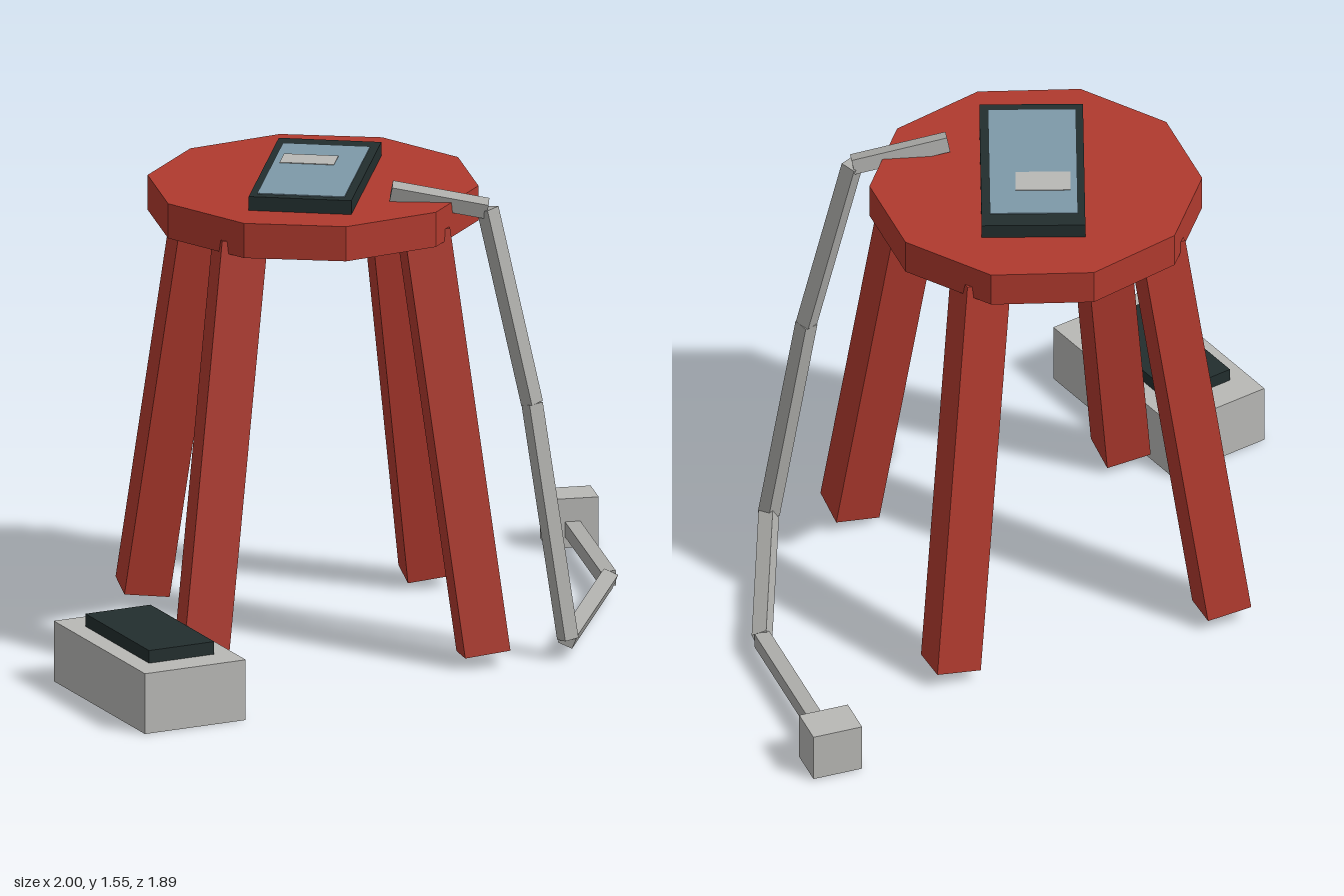
import * as THREE from 'three';

const paint = (name, color) => Object.assign(new THREE.MeshStandardMaterial({ color }), { name });

export function createModel() {
  const red = paint('red wood', 0xb03a2e);
  const grey = paint('light grey', 0xb8b8b5);
  const cableGrey = paint('cable grey', 0xacaca9);
  const black = paint('dark casing', 0x222e2e);
  const blue = paint('screen blue', 0x7d99a8);

  const model = new THREE.Group();
  const UP = new THREE.Vector3(0, 1, 0);

  function box(name, parent, material, size, position) {
    const mesh = new THREE.Mesh(new THREE.BoxGeometry(...size), material);
    mesh.name = name;
    mesh.position.set(...position);
    parent.add(mesh);
    return mesh;
  }

  // Square bar running from point a to point b
  function bar(name, parent, material, a, b, thickness) {
    const start = new THREE.Vector3(...a), end = new THREE.Vector3(...b);
    const along = end.clone().sub(start);
    const middle = start.add(end).multiplyScalar(0.5);
    const mesh = box(name, parent, material, [thickness, along.length(), thickness], middle.toArray());
    mesh.quaternion.setFromUnitVectors(UP, along.normalize());
  }

  function group(name, x, y, z, turn = 0) {
    const g = new THREE.Group();
    g.name = name;
    g.position.set(x, y, z);
    g.rotation.y = turn;
    model.add(g);
    return g;
  }

  // Stool: ten-sided seat on four splayed legs
  const stool = group('stool', -0.08, 0, -0.085);
  const seat = new THREE.Mesh(new THREE.CylinderGeometry(0.53, 0.53, 0.115, 10).toNonIndexed(), red);
  seat.geometry.computeVertexNormals();
  seat.name = 'seat';
  seat.position.y = 1.4375;
  stool.add(seat);
  for (const sx of [-1, 1]) {
    for (const sz of [-1, 1]) {
      bar('leg', stool, red, [sx * 0.46, 0.04, sz * 0.46], [sx * 0.297, 1.405, sz * 0.297], 0.148);
    }
  }

  // Tablet lying on the seat
  const tablet = group('tablet', -0.08, 1.495, -0.053, -0.345);
  box('tabletCase', tablet, black, [0.33, 0.046, 0.665], [0, 0.023, 0]);
  box('screen', tablet, blue, [0.28, 0.004, 0.57], [-0.002, 0.047, 0.016]);
  box('screenPanel', tablet, grey, [0.175, 0.004, 0.1], [-0.033, 0.049, -0.095]);

  // Low block with a dark pad on top
  const block = group('floorBlock', -0.745, 0, 0.578, 0.255);
  box('blockBody', block, grey, [0.357, 0.2, 0.66], [0, 0.1, 0]);
  box('blockPad', block, black, [0.23, 0.042, 0.46], [0, 0.221, 0]);

  // Cable from the seat down to the floor, ending in a plug
  const cable = group('cable', 0, 0, 0);
  const path = [
    [0.12, 1.525, 0.18], [0.42, 1.468, 0.245], [0.55, 0.835, 0.315],
    [0.652, 0.067, 0.385], [0.912, 0.067, -0.25], [0.912, 0.067, -0.83],
  ];
  for (let i = 1; i < path.length; i++) {
    bar('cableSegment', cable, cableGrey, path[i - 1], path[i], 0.05);
  }
  box('plug', cable, grey, [0.165, 0.163, 0.13], [0.914, 0.087, -0.882]);

  return model;
}
